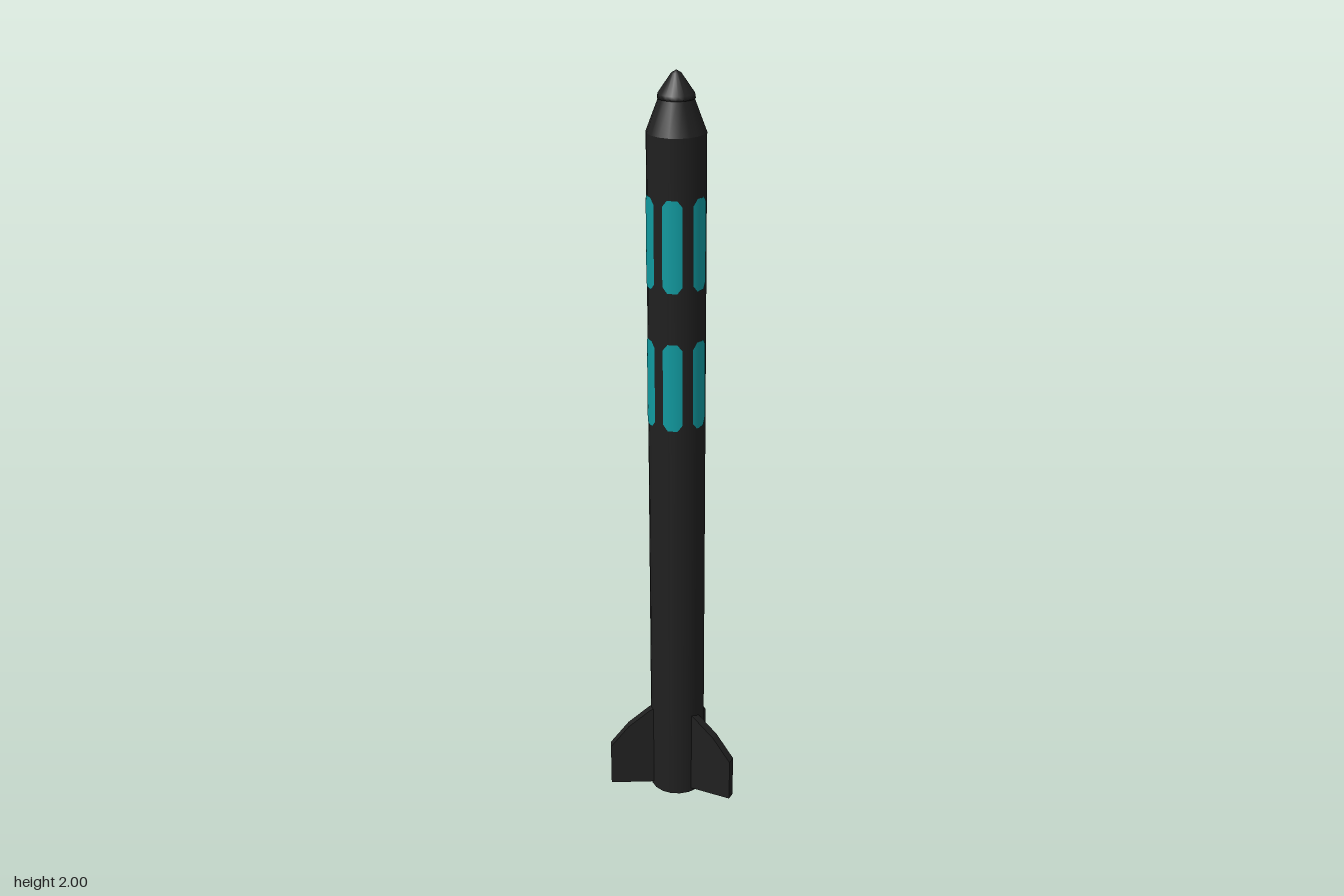
import * as THREE from 'three';

const AXIS_X = -0.037, AXIS_Z = -0.007, RADIUS = 0.073;

export function createModel() {
  const model = new THREE.Group();
  model.name = 'rocket';
  const hullBlack = new THREE.MeshStandardMaterial({ color: 0x202020 });
  hullBlack.name = 'hullBlack';
  const panelTeal = new THREE.MeshStandardMaterial({ color: 0x109aa0 });
  panelTeal.name = 'panelTeal';

  const add = (name, geometry, material, parent = model) => {
    const mesh = new THREE.Mesh(geometry, material);
    mesh.name = name;
    parent.add(mesh);
    return mesh;
  };

  // Everything round shares the rocket's axis
  const rocket = new THREE.Group();
  rocket.name = 'fuselage';
  rocket.position.set(AXIS_X, 0, AXIS_Z);
  model.add(rocket);

  const tube = new THREE.CylinderGeometry(RADIUS, RADIUS, 1.855, 18);
  add('body', tube.translate(0, 1.855 / 2, 0), hullBlack, rocket);

  const shoulder = new THREE.CylinderGeometry(0.041, RADIUS, 0.085, 18);
  add('noseShoulder', shoulder.translate(0, 1.8975, 0), hullBlack, rocket);

  // Small cap, slightly wider than the shoulder it sits on, with a blunt point
  const capProfile = [[0, 1.935], [0.046, 1.935], [0.044, 1.946], [0.012, 1.993], [0, 2]]
    .map(([r, y]) => new THREE.Vector2(r, y));
  add('noseTip', new THREE.LatheGeometry(capProfile, 18), hullBlack, rocket);

  // Two rings of curved panels with clipped corners
  const rad = THREE.MathUtils.degToRad;
  const WIDTH = 39, HEIGHT = 0.232, SEGMENTS = 8, CLIP = 0.016;
  for (const y of [1.225, 1.59]) {
    for (const azimuth of [-13, 46, 107, 168, 229, 286]) {
      const panel = new THREE.CylinderGeometry(RADIUS + 0.0012, RADIUS + 0.0012, HEIGHT, SEGMENTS, 1, true,
        rad(azimuth - WIDTH / 2), rad(WIDTH));
      const pos = panel.attributes.position;
      for (let i = 0; i < pos.count; i++) {
        const column = i % (SEGMENTS + 1);
        const fromEdge = Math.min(column, SEGMENTS - column);
        const inset = CLIP * Math.max(0, 1 - fromEdge / 2);
        pos.setY(i, pos.getY(i) - Math.sign(pos.getY(i)) * inset);
      }
      add('panel', panel.translate(0, y, 0), panelTeal, rocket);
    }
  }

  // Three fins, each drawn inward from its outer edge
  const finShape = new THREE.Shape([[-0.14, 0.01], [0, 0.01], [0, 0.13], [-0.05, 0.195], [-0.11, 0.247], [-0.14, 0.26]]
    .map(([x, y]) => new THREE.Vector2(x, y)));
  const finGeometry = new THREE.ExtrudeGeometry(finShape, { depth: 0.024, bevelEnabled: false });
  finGeometry.translate(0, 0, -0.012);
  for (const [x, z, turn] of [[0.13, -0.069, 29], [-0.126, -0.157, 116], [-0.127, 0.156, -123.5]]) {
    const fin = add('fin', finGeometry, hullBlack);
    fin.position.set(x, 0, z);
    fin.rotation.y = rad(turn);
  }

  return model;
}
